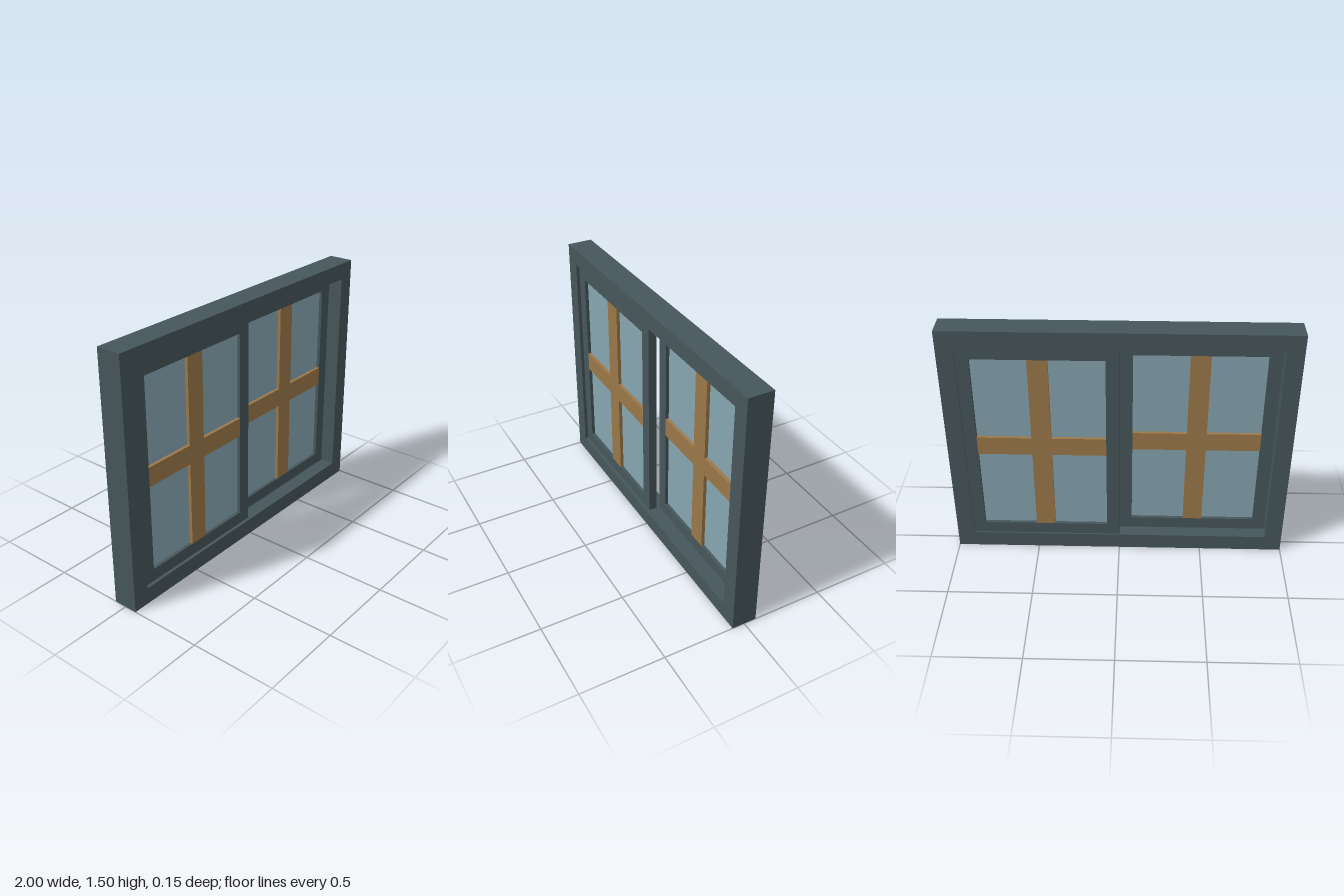
import * as THREE from 'three';

const frameMat = new THREE.MeshStandardMaterial({ color: 0x46565a });
frameMat.name = 'slate frame';
const woodMat = new THREE.MeshStandardMaterial({ color: 0x9b7849 });
woodMat.name = 'tan wood';
const glassMat = new THREE.MeshStandardMaterial({ color: 0x87a5b1 });
glassMat.name = 'blue glass';

function part(name, geometry, material) {
  const mesh = new THREE.Mesh(geometry, material);
  mesh.name = name;
  return mesh;
}

function polygon(points, Type = THREE.Shape) {
  return new Type(points.map(([x, y]) => new THREE.Vector2(x, y)));
}

const rect = (w, h) => [[-w / 2, -h / 2], [w / 2, -h / 2], [w / 2, h / 2], [-w / 2, h / 2]];

// Extrudes a shape centred on z = 0
function slab(shape, depth) {
  return new THREE.ExtrudeGeometry(shape, { depth, bevelEnabled: false }).translate(0, 0, -depth / 2);
}

// Rectangular border, open in the middle
function border(w, h, width, depth) {
  const shape = polygon(rect(w, h));
  shape.holes.push(polygon(rect(w - 2 * width, h - 2 * width).reverse(), THREE.Path));
  return slab(shape, depth);
}

// Plus-shaped glazing bars reaching the edges of a w by h opening
function cross(w, h, bar, depth) {
  const a = w / 2, b = h / 2, c = bar / 2;
  return slab(polygon([
    [-c, -b], [c, -b], [c, -c], [a, -c], [a, c], [c, c],
    [c, b], [-c, b], [-c, c], [-a, c], [-a, -c], [-c, -c],
  ]), depth);
}

// One sliding panel: border, glazing bars and pane
function createSash(name) {
  const w = 0.9, h = 1.3, rail = 0.075, depth = 0.05;
  const iw = w - 2 * rail, ih = h - 2 * rail;
  const sash = new THREE.Group();
  sash.name = name;
  sash.add(
    part('sashBorder', border(w, h, rail, depth), frameMat),
    part('glazingBars', cross(iw, ih, 0.115, depth), woodMat),
    part('glassPane', new THREE.BoxGeometry(iw, ih, 0.01), glassMat),
  );
  return sash;
}

export function createModel() {
  const model = new THREE.Group();
  model.name = 'slidingWindow';

  // Outer frame
  const frame = part('outerFrame', border(2, 1.5, 0.1, 0.15), frameMat);
  frame.position.y = 0.75;
  model.add(frame);

  // Sashes on separate tracks, one in front of the other
  for (const [name, x, z] of [['rightSash', -0.45, 0.03], ['leftSash', 0.45, -0.04]]) {
    const sash = createSash(name);
    sash.position.set(x, 0.75, z);
    model.add(sash);
  }
  return model;
}
